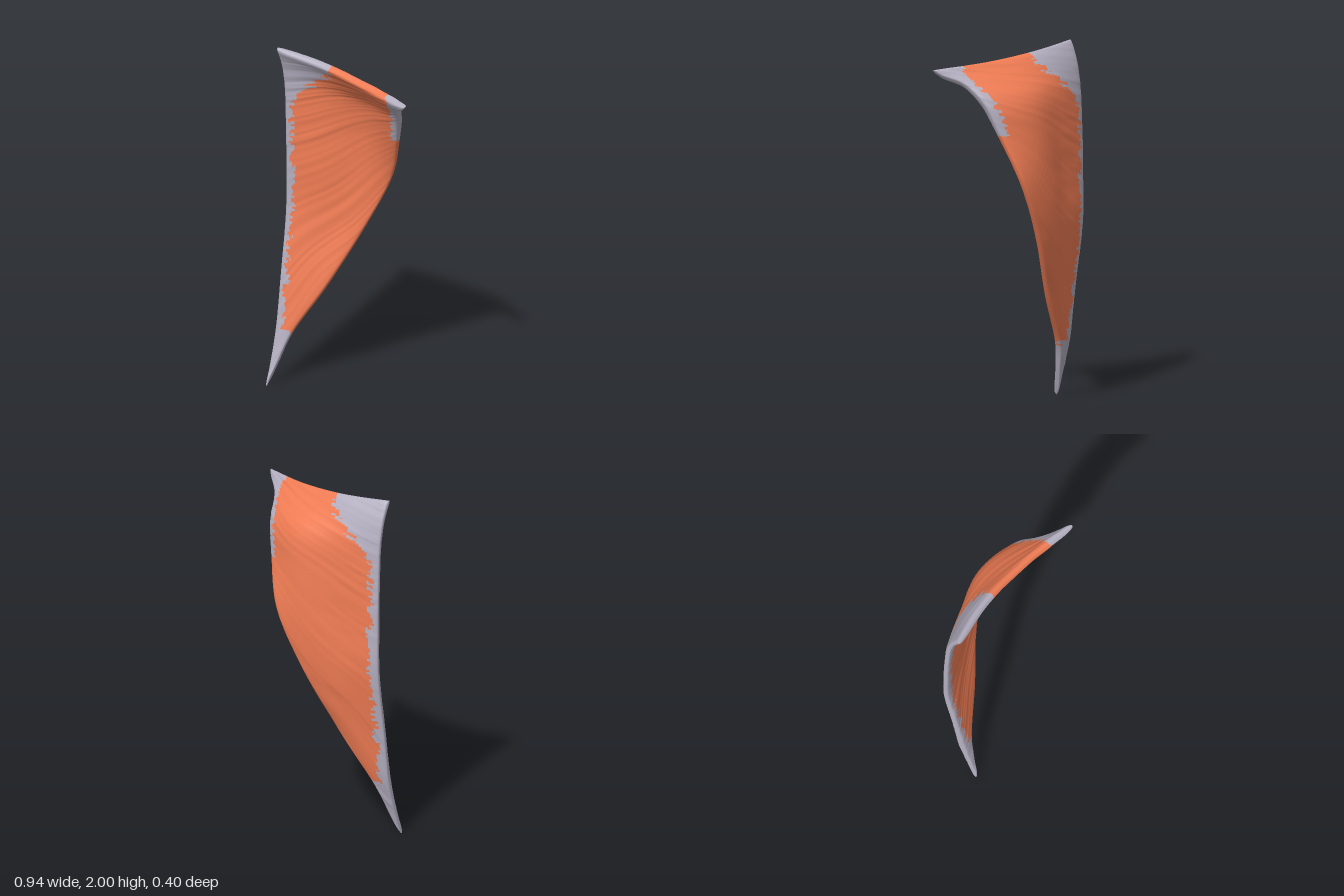
import * as THREE from 'three';

// Control rows from the bottom point to the top edge:
// inner edge, two inner points, free edge (centre line of the sheet)
const ROWS = [
  [[-0.471, 0, 0.13], [-0.47, 0.003, 0.129], [-0.468, 0.006, 0.127], [-0.466, 0.01, 0.125]],
  [[-0.466, 0.13, 0.088], [-0.452, 0.133, 0.086], [-0.438, 0.136, 0.083], [-0.424, 0.14, 0.08]],
  [[-0.462, 0.3, 0.04], [-0.43, 0.3, 0.037], [-0.4, 0.3, 0.033], [-0.37, 0.3, 0.027]],
  [[-0.46, 0.62, -0.008], [-0.37, 0.62, -0.03], [-0.28, 0.61, -0.047], [-0.192, 0.6, -0.053]],
  [[-0.46, 1, -0.066], [-0.3, 1, -0.1], [-0.15, 1, -0.136], [0.004, 0.98, -0.155]],
  [[-0.46, 1.3, -0.069], [-0.25, 1.3, -0.108], [-0.05, 1.3, -0.16], [0.158, 1.3, -0.176]],
  [[-0.46, 1.55, -0.063], [-0.22, 1.57, -0.105], [0.02, 1.57, -0.145], [0.244, 1.55, -0.095]],
  [[-0.46, 1.75, -0.052], [-0.2, 1.76, -0.088], [0.06, 1.75, -0.1], [0.304, 1.74, -0.012]],
  [[-0.462, 1.88, -0.028], [-0.2, 1.86, -0.047], [0.1, 1.835, -0.02], [0.35, 1.835, 0.078]],
  [[-0.464, 1.95, -0.003], [-0.18, 1.92, -0.012], [0.14, 1.89, 0.05], [0.436, 1.887, 0.165]],
  [[-0.466, 2, 0.022], [-0.16, 1.967, 0.028], [0.17, 1.935, 0.1], [0.47, 1.922, 0.2]],
];
const NU = 240; // steps up the sheet
const NV = 100; // steps round each cross-section

const columns = [0, 1, 2, 3].map(
  (c) => new THREE.CatmullRomCurve3(ROWS.map((r) => new THREE.Vector3(...r[c])))
);
const rowCurve = (u) => new THREE.CatmullRomCurve3(columns.map((c) => c.getPoint(u)));

// Seeded value noise, stepped or smooth
const hash = (n) => {
  const s = Math.sin(n * 127.1 + 11.7) * 43758.5453;
  return s - Math.floor(s);
};
const noise = (t) => {
  const i = Math.floor(t);
  const f = t - i;
  return THREE.MathUtils.lerp(hash(i), hash(i + 1), f * f * (3 - 2 * f));
};

// Half thickness: fuller along both edges, fullest just below the outer tip,
// slim towards the bottom point
function halfThickness(p, v) {
  const belowTip = Math.exp(-(((p.y - 1.7) / 0.12) ** 2));
  const inner = 0.006 * (1 - v) ** 4;
  const slim = THREE.MathUtils.lerp(0.6, 1, THREE.MathUtils.smoothstep(p.y, 0, 0.45));
  return (0.023 + inner + v * v * (0.008 + 0.018 * belowTip)) * slim;
}

// Fine grooves following the fibres, which fan out from the upper outer tip
function groove(p, side) {
  const angle = Math.atan2(2.0 - p.y, 0.85 - p.x) + 0.01 * Math.sin(p.x * 8 + p.y * 5);
  const patch = noise(p.x * 7 + p.y * 4 + side * 10);
  return (noise(angle * 38 + side * 50) - 0.5) * 0.006 * patch
    + (noise(angle * 100 + side * 90) - 0.5) * 0.003;
}

// Tendon covers the inner edge, the bottom point, the top corner and the outer tip
function isTendon(x, y) {
  const line = y - 0.25 * x;
  const jag = 0.65 * hash(Math.floor(line * 70)) + 0.35 * noise(line * 25);
  const corner = 0.36 * Math.pow(THREE.MathUtils.clamp((y - 1.62) / 0.34, 0, 1), 1.2);
  const inner = -0.45 + 0.065 * jag + corner * (0.75 + 0.3 * jag);
  if (x < inner || y < 0.27 + 0.06 * jag) return true;
  if (x > 0.31 + 0.05 * jag) return true;
  const freeEdge = 0.24 + (y - 1.55) * 0.33;
  return y > 1.56 && x > freeEdge - 0.05 * jag - 0.02;
}

function buildSheet() {
  const pos = [];
  for (let i = 0; i <= NU; i++) {
    const u = i / NU;
    const e = 0.003;
    const here = rowCurve(u);
    const below = rowCurve(Math.max(0, u - e));
    const above = rowCurve(Math.min(1, u + e));
    // thickness falls to nothing at both ends, with a rounded rim
    const end = Math.sqrt(Math.max(0, 1 - Math.pow(Math.abs(2 * u - 1), 36)));
    for (let j = 0; j < NV; j++) {
      const a = (j / NV) * Math.PI * 2;
      const v = (1 - Math.cos(a)) / 2;
      const s = Math.sin(a);
      const side = Math.abs(s) < 1e-6 ? 0 : Math.sign(s);
      const round = side * Math.pow(Math.abs(s), 0.45);
      const p = here.getPoint(v);
      const up = above.getPoint(v).sub(below.getPoint(v));
      const across = here.getPoint(Math.min(1, v + e)).sub(here.getPoint(Math.max(0, v - e)));
      const n = across.cross(up).normalize();
      p.addScaledVector(n, (halfThickness(p, v) + groove(p, side)) * round * end);
      pos.push(p.x, Math.max(0, p.y), p.z);
    }
  }

  const muscle = [];
  const tendon = [];
  for (let i = 0; i < NU; i++) {
    for (let j = 0; j < NV; j++) {
      const k = (j + 1) % NV;
      const [a, b, c, d] = [i * NV + j, i * NV + k, (i + 1) * NV + k, (i + 1) * NV + j];
      const x = (pos[a * 3] + pos[c * 3]) / 2;
      const y = (pos[a * 3 + 1] + pos[c * 3 + 1]) / 2;
      (isTendon(x, y) ? tendon : muscle).push(a, b, c, a, c, d);
    }
  }

  // Shared normals keep the seam between the two colours smooth
  const whole = new THREE.BufferGeometry();
  whole.setAttribute('position', new THREE.Float32BufferAttribute(pos, 3));
  whole.setIndex([...muscle, ...tendon]);
  whole.computeVertexNormals();
  return [muscle, tendon].map((index) => whole.clone().setIndex(index));
}

export function createModel() {
  const group = new THREE.Group();
  group.name = 'fanMuscle';
  const [muscle, tendon] = buildSheet();
  const add = (name, geometry, color) => {
    const mesh = new THREE.Mesh(geometry, new THREE.MeshStandardMaterial({ color }));
    mesh.name = name;
    group.add(mesh);
  };
  add('muscleFibres', muscle, 0xf07c54);
  add('tendon', tendon, 0xb4afc0);
  return group;
}
